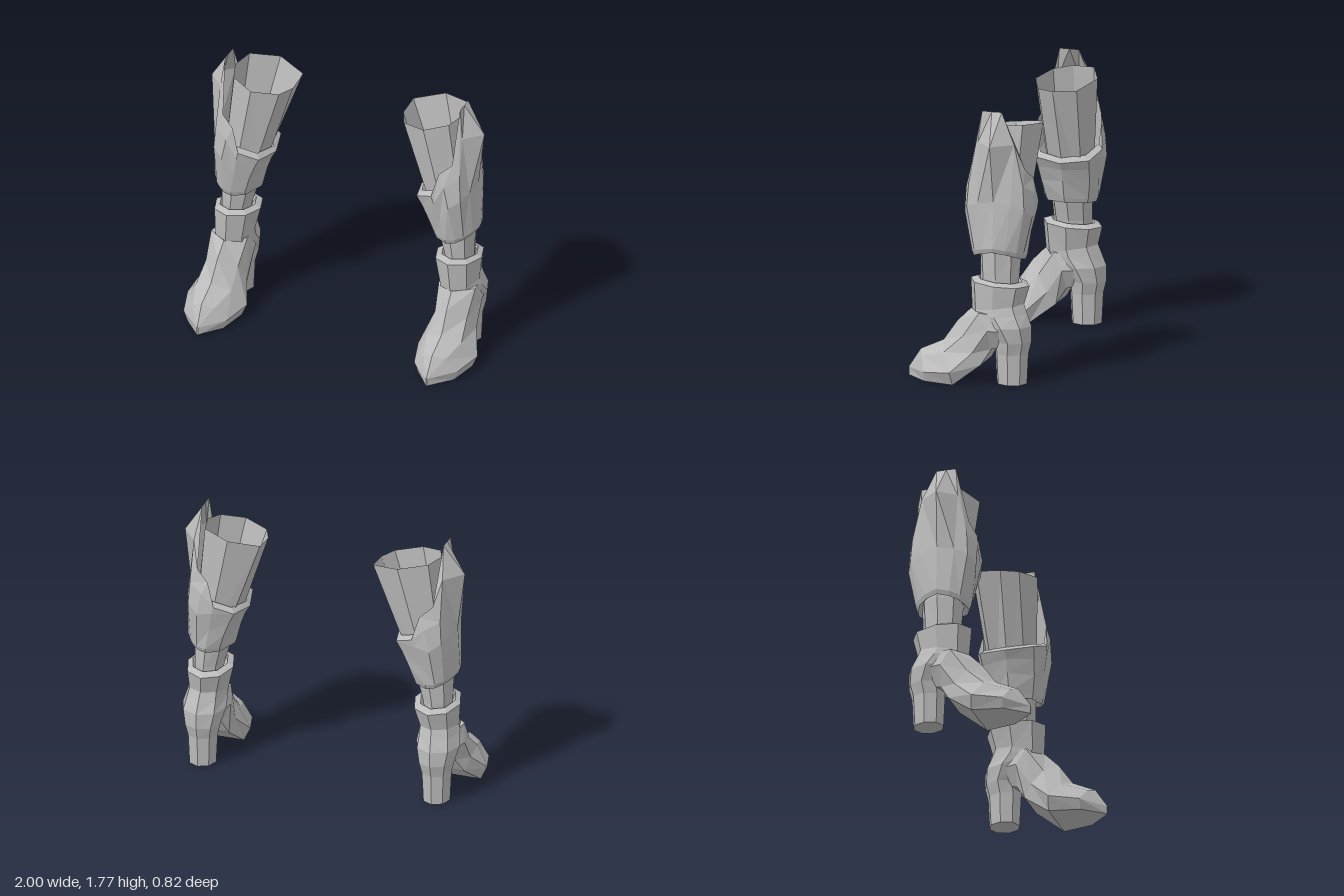
import * as THREE from 'three';

const leather = new THREE.MeshStandardMaterial({ color: 0xbcbcbc, flatShading: true, side: THREE.DoubleSide });
leather.name = 'greyLeather';

// Skins a list of closed rings; side = -1 mirrors across x.
function loft(name, rings, side, capStart = false, capEnd = false) {
  const n = rings[0].length;
  const pos = rings.flat().flatMap(([x, y, z]) => [x * side, y, z]);
  const index = [];
  const tri = (a, b, c) => (side > 0 ? index.push(a, b, c) : index.push(a, c, b));
  for (let i = 0; i < rings.length - 1; i++) {
    for (let j = 0; j < n; j++) {
      const k = (j + 1) % n;
      const a = i * n + j, b = i * n + k, c = b + n, d = a + n;
      tri(a, b, c);
      tri(a, c, d);
    }
  }
  const cap = (r, flip) => {
    const mid = [0, 1, 2].map(k => rings[r].reduce((s, p) => s + p[k], 0) / n);
    const m = pos.length / 3;
    pos.push(mid[0] * side, mid[1], mid[2]);
    for (let j = 0; j < n; j++) {
      const a = r * n + j, b = r * n + (j + 1) % n;
      if (flip) tri(m, b, a); else tri(m, a, b);
    }
  };
  if (capStart) cap(0, true);
  if (capEnd) cap(rings.length - 1, false);
  let geo = new THREE.BufferGeometry();
  geo.setAttribute('position', new THREE.Float32BufferAttribute(pos, 3));
  geo.setIndex(index);
  geo = geo.toNonIndexed();
  geo.computeVertexNormals();
  const mesh = new THREE.Mesh(geo, leather);
  mesh.name = name;
  return mesh;
}

// Eight-sided ring; tilt raises the front.
function oct(y, cx, cz, rx, rz, tilt = 0) {
  return Array.from({ length: 8 }, (_, k) => {
    const a = k * Math.PI / 4;
    return [cx + rx * Math.cos(a), y - tilt * Math.sin(a), cz - rz * Math.sin(a)];
  });
}

// Foot: half sections of [half width, y, z] as sole, side, shoulder, top.
function foot(side) {
  const halves = [
    [[0.07, 0.26, -0.26], [0.12, 0.36, -0.26], [0.11, 0.46, -0.2], [0, 0.47, -0.12]],
    [[0.085, 0.23, -0.16], [0.145, 0.36, -0.15], [0.125, 0.47, -0.09], [0, 0.47, 0]],
    [[0.12, 0.13, -0.1], [0.145, 0.21, -0.05], [0.11, 0.31, 0.02], [0, 0.38, 0.09]],
    [[0.165, 0, 0.07], [0.205, 0.087, 0.08], [0.12, 0.2, 0.14], [0, 0.25, 0.18]],
    [[0.125, 0, 0.27], [0.15, 0.065, 0.27], [0.075, 0.15, 0.3], [0, 0.18, 0.33]],
    [[0.004, 0, 0.41], [0.004, 0.05, 0.41], [0.002, 0.055, 0.41], [0, 0.057, 0.41]],
  ];
  const cx = [0.785, 0.785, 0.79, 0.795, 0.795, 0.79];
  const rings = halves.map((h, i) => [
    ...h.map(([w, y, z]) => [cx[i] + w, y, z]),
    ...h.slice(0, 3).reverse().map(([w, y, z]) => [cx[i] - w, y, z]),
  ]);
  return loft('foot', rings, side, true, true);
}

function heel(side) {
  return loft('heel', [
    oct(0, 0.785, -0.27, 0.09, 0.1),
    oct(0.2, 0.785, -0.27, 0.1, 0.11),
    oct(0.28, 0.785, -0.28, 0.12, 0.12),
    oct(0.38, 0.785, -0.24, 0.145, 0.16),
    oct(0.45, 0.78, -0.19, 0.135, 0.18, -0.01),
    oct(0.5, 0.775, -0.175, 0.127, 0.17, -0.025),
  ], side, true, true);
}

function ankleCollar(side) {
  return loft('ankleCollar', [
    oct(0.49, 0.775, -0.175, 0.127, 0.172, -0.025),
    oct(0.65, 0.762, -0.185, 0.152, 0.195, 0.015),
    oct(0.67, 0.765, -0.185, 0.115, 0.145, 0.012),
    oct(0.62, 0.768, -0.185, 0.09, 0.12),
  ], side);
}

// Leaning leg tube, open at the top.
function legTube(side) {
  const rim = [[0.785, -0.18], [0.75, -0.33], [0.57, -0.41], [0.38, -0.33],
    [0.38, -0.17], [0.43, -0.06], [0.595, 0.01], [0.74, -0.06]]
    .map(([x, z]) => [x, 1.64 + 0.17 * (x - 0.585) - 0.1 * (z + 0.2), z]);
  return loft('legTube', [
    oct(0.6, 0.77, -0.185, 0.09, 0.125),
    oct(0.68, 0.767, -0.185, 0.098, 0.128),
    oct(0.86, 0.745, -0.185, 0.128, 0.138),
    rim,
  ], side);
}

function legFloor(side) {
  return loft('legFloor', [oct(1.0, 0.717, -0.187, 0.135, 0.14), oct(1.01, 0.715, -0.187, 0.135, 0.14)], side, false, true);
}

// Shin guard: columns from bottom edge to top rim, low inside and tall outside.
function shinGuard(side) {
  const inner = [[0.59, 0.85, -0.18], [0.56, 0.97, -0.18], [0.53, 1.05, -0.18], [0.5, 1.1, -0.18]];
  const front = [
    [[0.655, 0.84, -0.04], [0.62, 0.95, -0.02], [0.58, 1.05, -0.01], [0.545, 1.12, 0]],
    [[0.74, 0.835, 0], [0.71, 0.98, 0.015], [0.68, 1.12, 0.045], [0.665, 1.17, 0.05]],
    [[0.8, 0.845, -0.01], [0.78, 1.1, 0.045], [0.75, 1.25, 0.045], [0.71, 1.33, 0.03]],
    [[0.85, 0.865, -0.04], [0.85, 1.15, 0.01], [0.84, 1.3, 0], [0.79, 1.4, 0]],
    [[0.89, 0.885, -0.1], [0.88, 1.18, -0.07], [0.835, 1.57, -0.06], [0.81, 1.77, -0.08]],
  ];
  const outer = [[0.912, 0.9, -0.18], [0.895, 1.2, -0.18], [0.94, 1.57, -0.17], [0.812, 1.77, -0.145]];
  const back = front.map(c => c.map(([x, y, z]) => [x, y, y > 1.7 ? -0.21 : -0.36 - z])).reverse();
  const cols = [inner, ...front, outer, ...back];
  const rings = [0, 1, 2, 3].map(r => cols.map(c => c[r]));
  const shrink = (ring, f, dy) => ring.map(([x, y, z]) => [0.745 + (x - 0.745) * f, y + dy, -0.18 + (z + 0.18) * f]);
  // thick lip along the low part of the rim only
  const lip = rings[3].map(([x, y, z]) => {
    const t = y < 1.2 ? 1 : 0;
    return [x + t * 0.025, y + t * 0.03, z - t * Math.sign(z + 0.18) * 0.03];
  });
  return loft('shinGuard', [shrink(rings[0], 0.75, 0), shrink(rings[0], 0.93, -0.03), ...rings, lip], side);
}

export function createModel() {
  const model = new THREE.Group();
  model.name = 'bootPair';
  for (const side of [1, -1]) {
    const boot = new THREE.Group();
    boot.name = side > 0 ? 'leftBoot' : 'rightBoot';
    for (const part of [foot, heel, ankleCollar, legTube, legFloor, shinGuard]) boot.add(part(side));
    model.add(boot);
  }
  return model;
}
